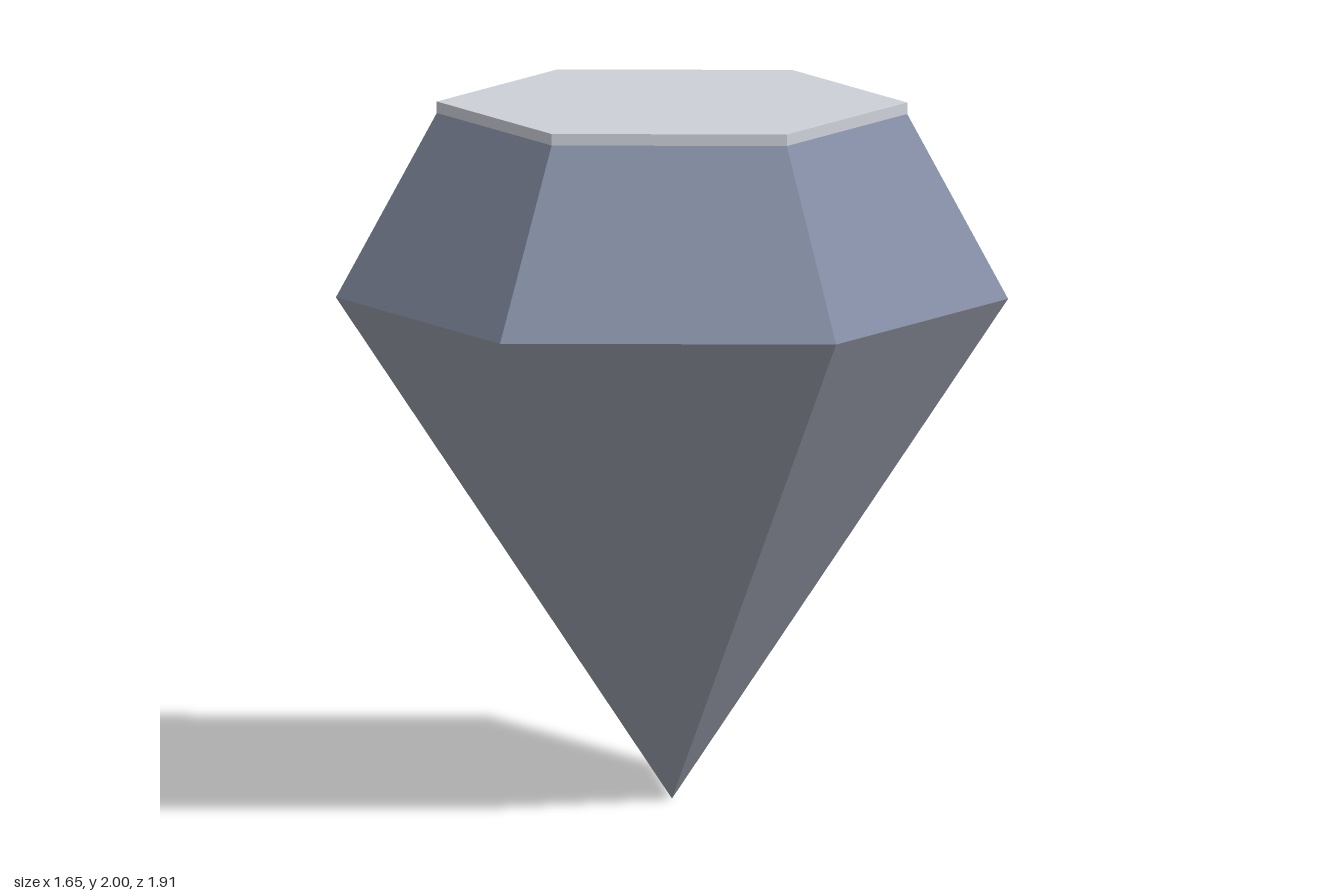
import * as THREE from 'three';

const SIDES = 6;

function colour(name, hex) {
  const material = new THREE.MeshStandardMaterial({ color: hex, flatShading: true });
  material.name = name;
  return material;
}

// Six-sided band between two heights, with a corner on the +z axis
function facetBand(name, material, y0, r0, y1, r1, openEnded) {
  const geometry = new THREE.CylinderGeometry(r1, r0, y1 - y0, SIDES, 1, openEnded);
  geometry.translate(0, (y0 + y1) / 2, 0);
  const mesh = new THREE.Mesh(geometry, material);
  mesh.name = name;
  return mesh;
}

export function createModel() {
  const paleSilver = colour('pale silver', 0xcdd0d8);
  const slateBlue = colour('slate blue', 0x858ea5);
  const coolGrey = colour('cool grey', 0x969ba7);

  const girdleY = 1.437, girdleR = 0.953;
  const tableY = 1.967, tableR = 0.667;

  const gem = new THREE.Group();
  gem.name = 'cutGem';
  gem.add(
    // Pointed lower half
    facetBand('pavilion', coolGrey, 0, 0, girdleY, girdleR, true),
    // Sloping upper facets
    facetBand('crown', slateBlue, girdleY, girdleR, tableY, tableR, true),
    // Thin flat slab on top
    facetBand('table', paleSilver, tableY, tableR, 2, tableR, false),
  );
  return gem;
}
